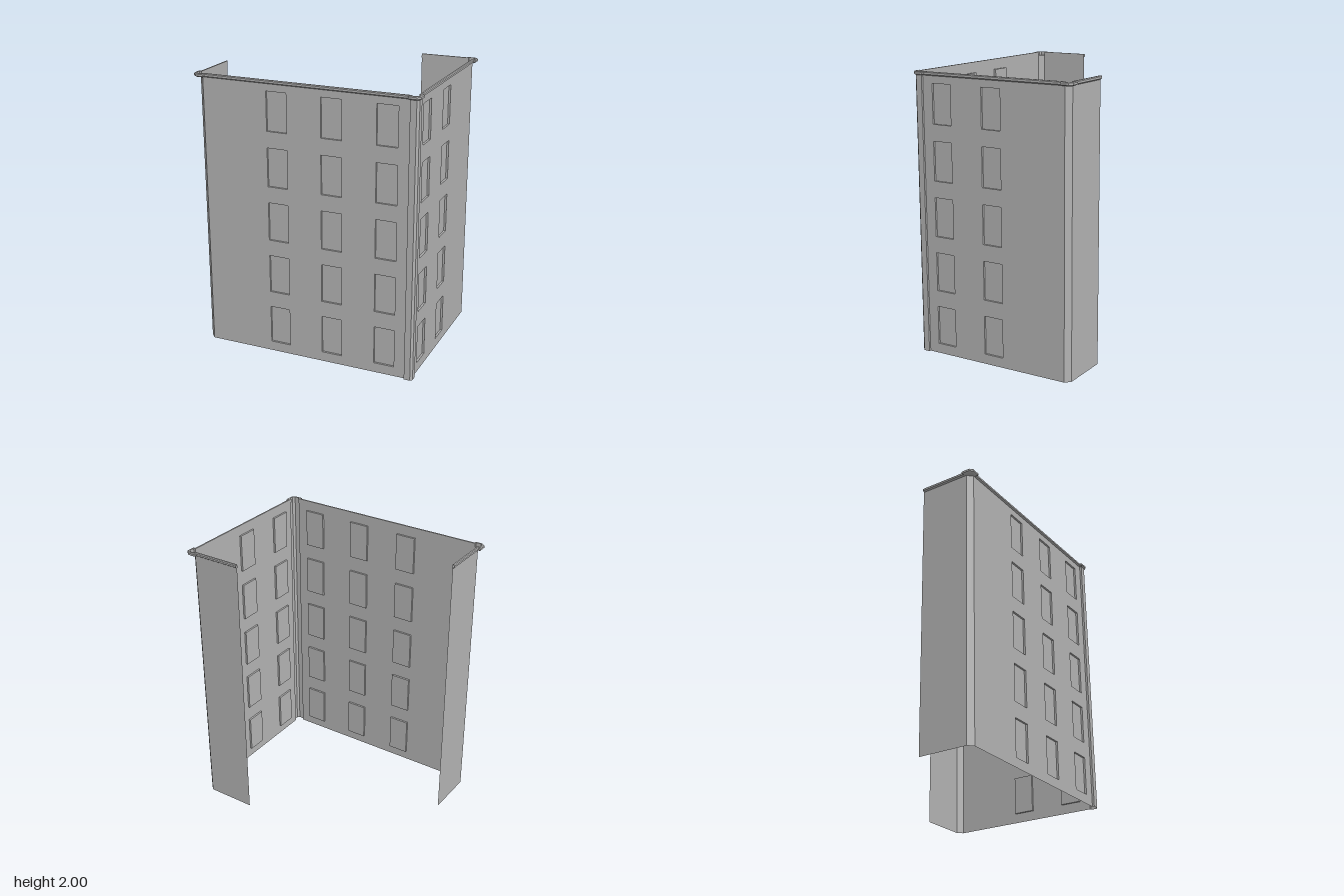
import * as THREE from 'three';

const LEFT = -0.793, RIGHT = 0.788, FRONT = 0.593, BACK = -0.595;
const SOFFIT = 1.973, TOP = 2;

const stone = new THREE.MeshStandardMaterial({ color: 0xb4b4b4, side: THREE.DoubleSide });
stone.name = 'grey stone';

function named(name, geometry) {
  const mesh = new THREE.Mesh(geometry, stone);
  mesh.name = name;
  return mesh;
}

// flat-shaded geometry from a list of quads, each four [x, y, z] corners
function quads(list) {
  const pos = [];
  for (const [a, b, c, d] of list) pos.push(...a, ...b, ...c, ...a, ...c, ...d);
  const geometry = new THREE.BufferGeometry();
  geometry.setAttribute('position', new THREE.Float32BufferAttribute(pos, 3));
  geometry.computeVertexNormals();
  return geometry;
}

// vertical sheet following a plan path of [x, z] points
function sheet(path, y0, y1) {
  return quads(path.slice(1).map(([x, z], i) => {
    const [px, pz] = path[i];
    return [[px, y0, pz], [x, y0, z], [x, y1, z], [px, y1, pz]];
  }));
}

function rectangle(Type, x0, x1, y0, y1) {
  return new Type([[x0, y0], [x1, y0], [x1, y1], [x0, y1]].map(p => new THREE.Vector2(...p)));
}

// wall facing +z with five storeys of shallow window recesses
function windowWall(name, x0, x1, columns) {
  const group = new THREE.Group();
  group.name = name;
  const w = 0.149, h = 0.277, depth = 0.014;
  const wall = rectangle(THREE.Shape, x0, x1, 0, SOFFIT);
  for (const cx of columns) {
    for (let row = 0; row < 5; row++) {
      const cy = 0.209 + row * 0.3937;
      wall.holes.push(rectangle(THREE.Path, cx - w / 2, cx + w / 2, cy - h / 2, cy + h / 2));
      // box without its front face
      const recess = new THREE.BoxGeometry(w, h, depth);
      const index = Array.from(recess.index.array);
      index.splice(24, 6);
      recess.setIndex(index);
      recess.clearGroups();
      recess.translate(cx, cy, -depth / 2);
      group.add(named('windowRecess', recess));
    }
  }
  group.add(named('wallFace', new THREE.ShapeGeometry(wall)));
  return group;
}

// plan of a projecting chamfered corner, from the side wall round to the front or back wall
function cornerPlan(cx, cz, sx, sz) {
  const l = 0.044, o = 0.015, c = 0.015;
  return [[0, -l], [o, -l], [o, o - c], [o - c, o], [-l, o], [-l, 0]]
    .map(([x, z]) => [cx + sx * x, cz + sz * z]);
}

// sweep a closed [out, y] profile along a plan path with mitred corners
function sweep(path, profile) {
  const normal = (a, b) => {
    const dx = b[0] - a[0], dz = b[1] - a[1], len = Math.hypot(dx, dz);
    return [-dz / len, dx / len];
  };
  const rings = path.map((p, i) => {
    const n1 = normal(path[Math.max(i - 1, 0)], path[Math.max(i, 1)]);
    const last = path.length - 1;
    const n2 = normal(path[Math.min(i, last - 1)], path[Math.min(i + 1, last)]);
    const k = 1 + n1[0] * n2[0] + n1[1] * n2[1];
    const m = [(n1[0] + n2[0]) / k, (n1[1] + n2[1]) / k];
    return profile.map(([out, y]) => [p[0] + m[0] * out, y, p[1] + m[1] * out]);
  });
  const list = [];
  const n = profile.length;
  for (let i = 0; i + 1 < rings.length; i++) {
    for (let j = 0; j < n; j++) {
      const k = (j + 1) % n;
      list.push([rings[i][j], rings[i + 1][j], rings[i + 1][k], rings[i][k]]);
    }
  }
  return quads(list);
}

export function createModel() {
  const model = new THREE.Group();
  model.name = 'buildingFacade';
  const cut = 0.036;

  // main walls with windows
  const front = windowWall('frontWall', LEFT + cut, RIGHT - 0.044, [-0.204, 0.195, 0.589]);
  front.position.z = FRONT;
  const side = windowWall('rightWall', -FRONT + 0.044, -BACK - cut, [-0.398, -0.002]);
  side.rotation.y = Math.PI / 2;
  side.position.x = RIGHT;
  model.add(front, side);

  // short return walls, each with a chamfered corner
  const leftReturn = [[LEFT, 0.195], [LEFT, FRONT - cut], [LEFT + cut, FRONT]];
  const backReturn = [[RIGHT, BACK + cut], [RIGHT - cut, BACK], [0.392, BACK]];
  model.add(named('leftReturnWall', sheet(leftReturn, 0, SOFFIT)));
  model.add(named('backReturnWall', sheet(backReturn, 0, SOFFIT)));

  // projecting pilaster where the two main walls meet
  const frontLeft = cornerPlan(LEFT, FRONT, -1, 1);
  const frontRight = cornerPlan(RIGHT, FRONT, 1, 1).reverse();
  const backRight = cornerPlan(RIGHT, BACK, 1, -1);
  model.add(named('cornerPilaster', sheet(frontRight, 0, SOFFIT)));

  // cornice round the top, stepping out at every corner
  const path = [leftReturn[0], ...frontLeft, ...frontRight, ...backRight, backReturn[2]];
  const profile = [[-0.004, SOFFIT], [0, SOFFIT], [0.012, 1.981], [0.012, 1.994], [0.007, TOP], [-0.004, TOP]];
  model.add(named('cornice', sweep(path, profile)));

  // soffits above the chamfered corners
  const soffits = [
    [...frontLeft, leftReturn[2], leftReturn[1]],
    [...backRight, backReturn[1], backReturn[0]],
  ];
  for (const plan of soffits) {
    const shape = new THREE.Shape(plan.map(p => new THREE.Vector2(...p)));
    const geometry = new THREE.ShapeGeometry(shape).rotateX(Math.PI / 2).translate(0, SOFFIT, 0);
    model.add(named('cornerSoffit', geometry));
  }
  return model;
}
